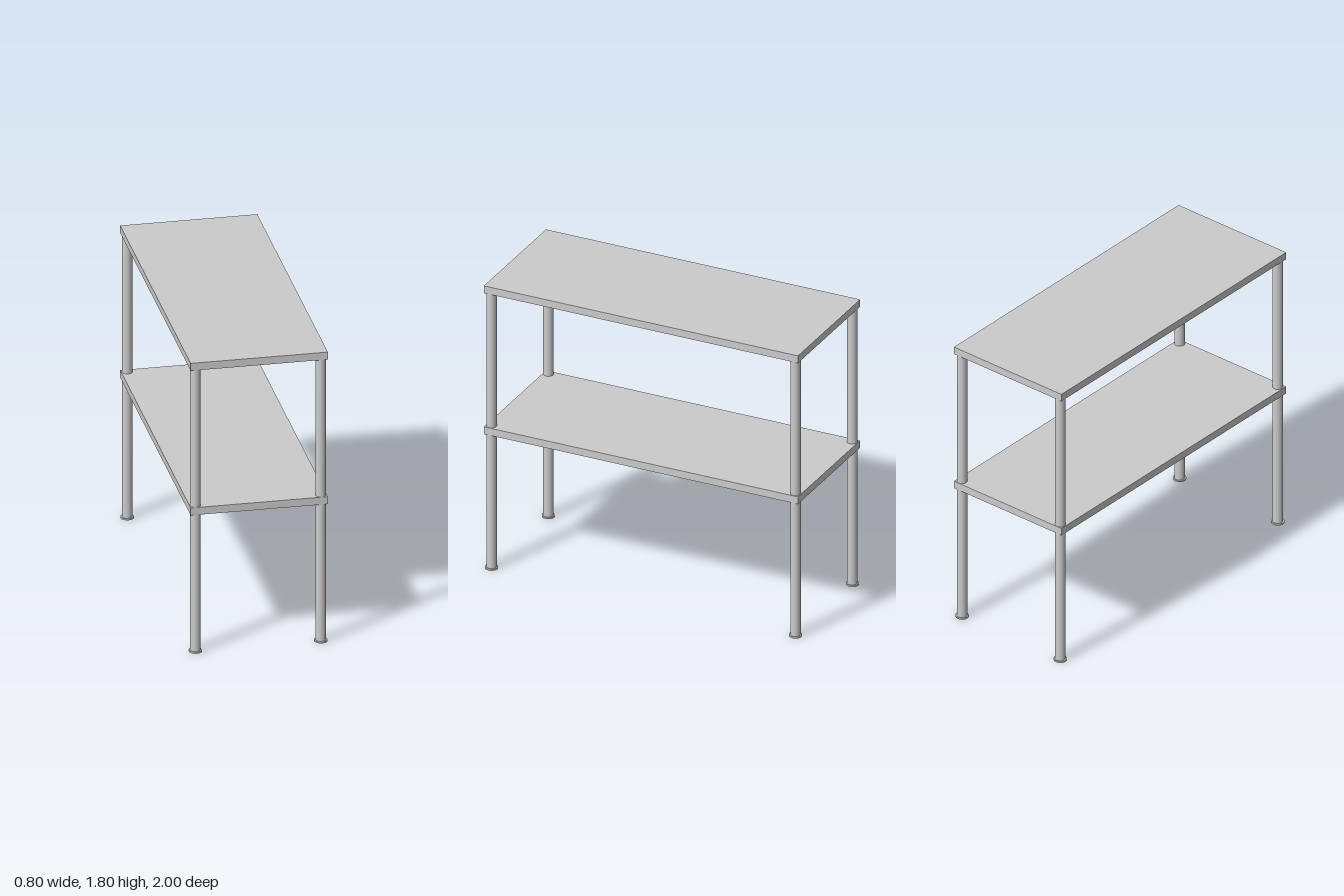
import * as THREE from 'three';

const WIDTH = 0.794, DEPTH = 1.988, THICK = 0.046;
const LEG_X = 0.363, LEG_Z = 0.962, LEG_R = 0.03, FOOT_R = 0.038, FOOT_H = 0.009;
const SHELF_TOPS = { lowerShelf: 0.903, upperShelf: 1.798 };

export function createModel() {
  const group = new THREE.Group();
  const material = new THREE.MeshStandardMaterial({ color: 0xcccccc });

  const add = (name, geometry, x, y, z) => {
    const mesh = new THREE.Mesh(geometry, material);
    mesh.name = name;
    mesh.position.set(x, y, z);
    group.add(mesh);
  };

  // Two flat shelves
  const board = new THREE.BoxGeometry(WIDTH, THICK, DEPTH);
  for (const [name, top] of Object.entries(SHELF_TOPS)) add(name, board, 0, top - THICK / 2, 0);

  // Round legs: a lower and an upper length at each corner, on a flat foot disc
  const lowerTop = SHELF_TOPS.lowerShelf - THICK;
  const upperBase = SHELF_TOPS.lowerShelf;
  const upperTop = SHELF_TOPS.upperShelf - THICK;
  const tube = (from, to) => new THREE.CylinderGeometry(LEG_R, LEG_R, to - from, 32);
  const lower = tube(FOOT_H, lowerTop);
  const upper = tube(upperBase, upperTop);
  const foot = new THREE.CylinderGeometry(FOOT_R, FOOT_R, FOOT_H, 32);

  for (const [side, sx] of [['Left', 1], ['Right', -1]]) {
    for (const [end, sz] of [['front', 1], ['back', -1]]) {
      const x = sx * LEG_X, z = sz * LEG_Z;
      add(`${end}${side}LowerLeg`, lower, x, (FOOT_H + lowerTop) / 2, z);
      add(`${end}${side}UpperLeg`, upper, x, (upperBase + upperTop) / 2, z);
      add(`${end}${side}Foot`, foot, x, FOOT_H / 2, z);
    }
  }
  return group;
}
